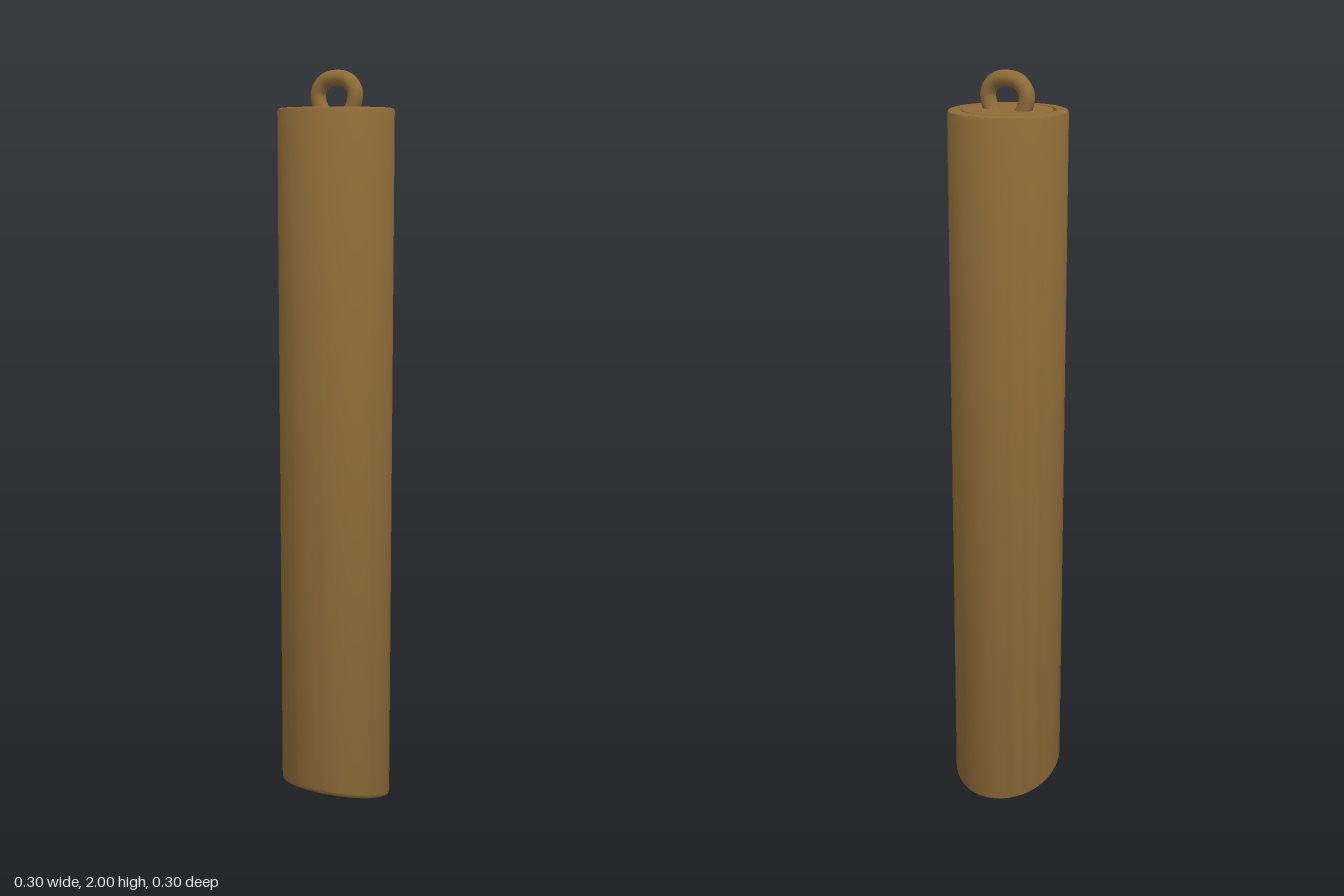
import * as THREE from 'three';
import { toCreasedNormals } from 'three/addons/utils/BufferGeometryUtils.js';

export function createModel() {
  const model = new THREE.Group();
  model.name = 'hangingChimeTube';
  const bronze = new THREE.MeshStandardMaterial({ color: 0x8f6c38 });
  bronze.name = 'bronze';

  const add = (name, geometry) => {
    const mesh = new THREE.Mesh(geometry, bronze);
    mesh.name = name;
    model.add(mesh);
  };

  // Hollow tube: up the bore, round the slanted mouth, up the outside to the grooved cap
  const profile = [
    [0, 1.86], [0.112, 1.86], [0.112, 0.012], [0.115, 0.004], [0.122, 0],
    [0.14, 0], [0.147, 0.004], [0.15, 0.012], [0.15, 1.898], [0.148, 1.903], [0.143, 1.905],
    [0.12, 1.905], [0.118, 1.897], [0.114, 1.897], [0.112, 1.905], [0, 1.905],
  ].map(([r, y]) => new THREE.Vector2(r, y));
  const tube = new THREE.LatheGeometry(profile, 64);

  // Shear the lower rim so that the mouth faces forward
  const pos = tube.attributes.position;
  for (let i = 0; i < pos.count; i++) {
    if (pos.getY(i) < 0.5) pos.setY(i, pos.getY(i) + 0.044 + 0.3 * pos.getZ(i));
  }
  add('tube', toCreasedNormals(tube, 0.75));

  // Hanging loop, with both ends sunk into the cap
  const half = [[0.035, 1.885], [0.052, 1.918], [0.055, 1.945], [0.035, 1.972]];
  const path = [
    ...half,
    [0, 1.98],
    ...half.map(([x, y]) => [-x, y]).reverse(),
  ].map(([x, y]) => new THREE.Vector3(x, y, -0.003));
  add('hangingLoop', new THREE.TubeGeometry(new THREE.CatmullRomCurve3(path), 48, 0.02, 16, false));

  return model;
}
